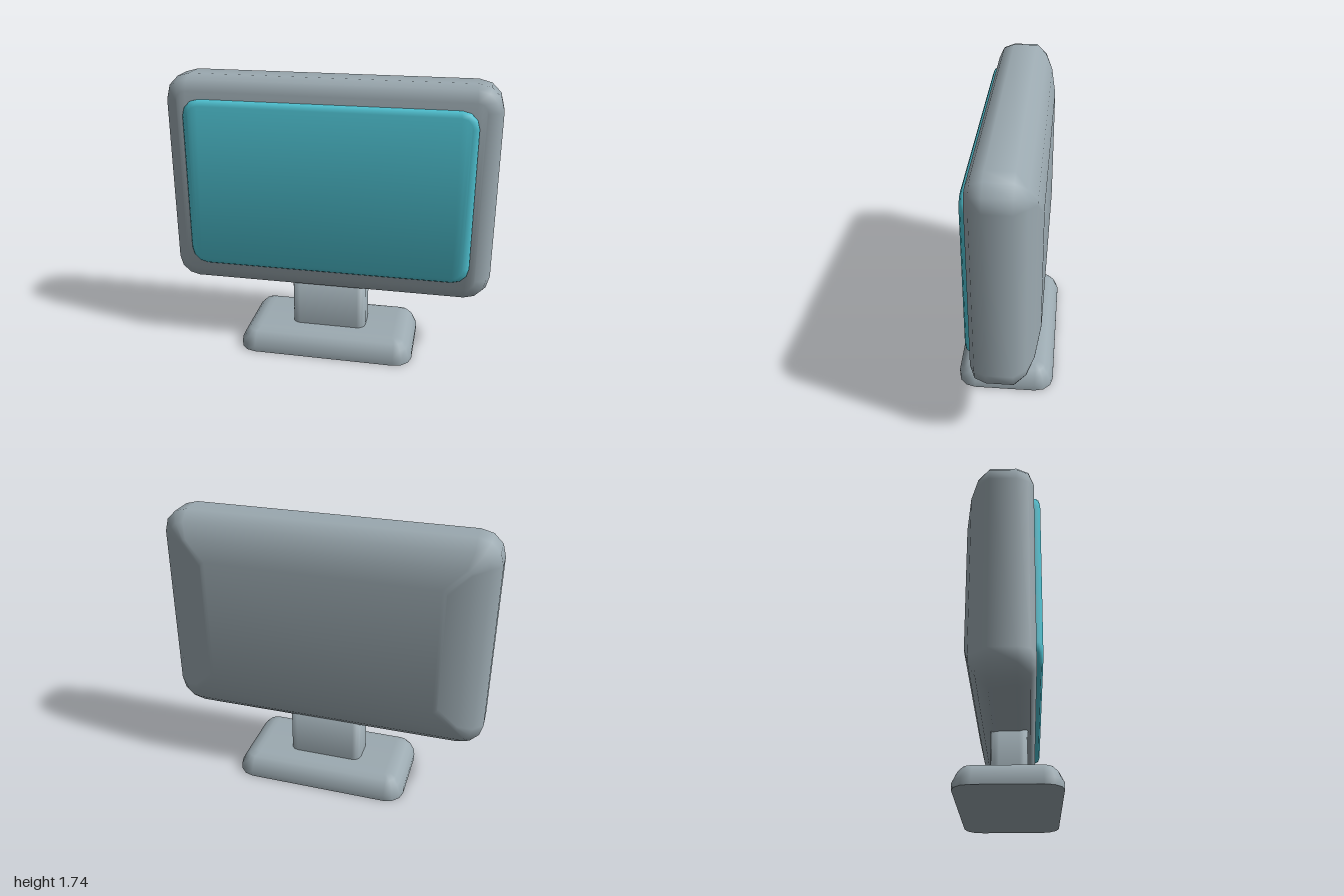
import * as THREE from 'three';

const STEPS = 3; // segments per rounded corner

// Rounded rectangle outline, counter-clockwise: [x, y, normalX, normalY]
function outline(halfW, halfH, radius) {
  const points = [];
  for (let corner = 0; corner < 4; corner++) {
    const sx = corner === 0 || corner === 3 ? 1 : -1;
    const sy = corner < 2 ? 1 : -1;
    for (let k = 0; k <= STEPS; k++) {
      const a = (corner + k / STEPS) * Math.PI / 2;
      const c = Math.cos(a), s = Math.sin(a);
      points.push([sx * (halfW - radius) + c * radius, sy * (halfH - radius) + s * radius, c, s]);
    }
  }
  return points;
}

// Soft slab along +z; profile is [inset, z] from back to front, shaded smoothly.
function softSlab(halfW, halfH, radius, profile, sharpBack = false) {
  const positions = [], normals = [], index = [];
  const n = 4 * (STEPS + 1), last = profile.length - 1;

  // Outward direction of each profile segment, with the caps at either end
  const facing = [[0, -1]];
  for (let j = 0; j < last; j++) {
    const dz = profile[j + 1][1] - profile[j][1];
    const di = profile[j + 1][0] - profile[j][0];
    const len = Math.hypot(dz, di);
    facing.push([dz / len, di / len]);
  }
  facing.push([0, 1]);
  if (sharpBack) facing[0] = facing[1];

  const addRing = ([inset, z], out, along) => {
    const len = Math.hypot(out, along);
    const r = Math.max(radius - inset, 0.03);
    for (const [x, y, c, s] of outline(halfW - inset, halfH - inset, r)) {
      positions.push(x, y, z);
      normals.push(c * out / len, s * out / len, along / len);
    }
  };
  profile.forEach((p, j) => addRing(p, facing[j][0] + facing[j + 1][0], facing[j][1] + facing[j + 1][1]));
  if (sharpBack) addRing(profile[0], 0, -1);

  // Sides
  for (let j = 0; j < last; j++) {
    for (let i = 0; i < n; i++) {
      const a = j * n + i, b = j * n + (i + 1) % n;
      index.push(a, b, b + n, a, b + n, a + n);
    }
  }
  // Caps, in strips from upper to lower edge
  const back = sharpBack ? (last + 1) * n : 0, front = last * n;
  for (let k = 0; k < n / 2 - 1; k++) {
    const [a, b, c, d] = [k, k + 1, n - 2 - k, n - 1 - k];
    index.push(front + a, front + b, front + c, front + a, front + c, front + d);
    index.push(back + a, back + c, back + b, back + a, back + d, back + c);
  }

  const geometry = new THREE.BufferGeometry();
  geometry.setAttribute('position', new THREE.Float32BufferAttribute(positions, 3));
  geometry.setAttribute('normal', new THREE.Float32BufferAttribute(normals, 3));
  geometry.setIndex(index);
  return geometry;
}

export function createModel() {
  const group = new THREE.Group();
  const casing = new THREE.MeshStandardMaterial({ color: 0x9caab1 });
  casing.name = 'grey casing';
  const glass = new THREE.MeshStandardMaterial({ color: 0x4fc4d4 });
  glass.name = 'cyan screen';

  const add = (name, geometry, material, y) => {
    const mesh = new THREE.Mesh(geometry, material);
    mesh.name = name;
    mesh.position.y = y;
    group.add(mesh);
  };

  // Housing: wide tapered back, small front bevel
  add('housing', softSlab(1, 0.665, 0.15, [
    [0.27, -0.225], [0.15, -0.197], [0.06, -0.155], [0, -0.09],
    [0, 0.06], [0.025, 0.125], [0.09, 0.155],
  ]), casing, 1.07);

  // Screen: raised panel with a soft edge
  add('screen', softSlab(0.87, 0.528, 0.1, [
    [0, 0.14], [0, 0.165], [0.01, 0.18], [0.035, 0.19],
  ], true), glass, 1.072);

  // Upright neck, reaching into the housing
  add('neck', softSlab(0.237, 0.108, 0.05, [[0, 0.1], [0, 0.47]], true)
    .rotateX(-Math.PI / 2), casing, 0);

  // Foot: flat underside, rounded upper edge
  add('foot', softSlab(0.553, 0.298, 0.11, [
    [0, 0], [0, 0.04], [0.025, 0.09], [0.055, 0.12], [0.1, 0.132],
  ], true).rotateX(-Math.PI / 2), casing, 0);

  return group;
}
